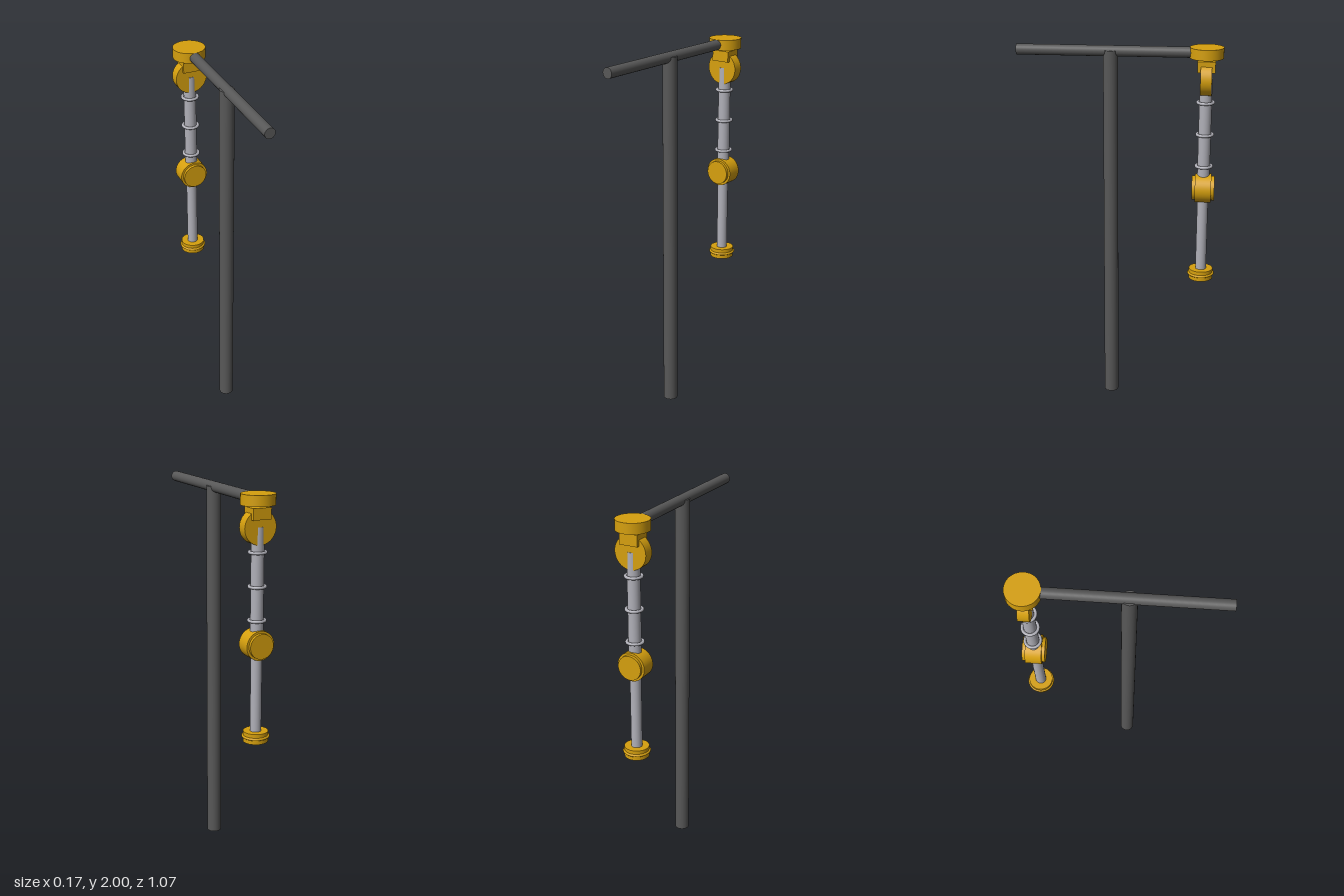
import * as THREE from 'three';

export function createModel() {
  const model = new THREE.Group();
  const mat = (name, color) => {
    const m = new THREE.MeshStandardMaterial({ color });
    m.name = name;
    return m;
  };
  const darkSteel = mat('dark steel', 0x585858);
  const paleMetal = mat('pale metal', 0xb0b0b8);
  const amber = mat('amber', 0xd6a00e);

  const ARM_Z = -0.45; // vertical axis of the hanging arm
  const POLE_Z = 0.045;

  const add = (parent, name, geometry, material, x, y, z) => {
    const mesh = new THREE.Mesh(geometry, material);
    mesh.name = name;
    mesh.position.set(x, y, z);
    parent.add(mesh);
    return mesh;
  };
  // Upright cylinder between two heights
  const upright = (parent, name, r, y0, y1, z, material) =>
    add(parent, name, new THREE.CylinderGeometry(r, r, y1 - y0, 40), material, 0, (y0 + y1) / 2, z);
  // Cylinder lying along z between two depths
  const lying = (parent, name, r, z0, z1, y, material) =>
    add(parent, name, new THREE.CylinderGeometry(r, r, z1 - z0, 40).rotateX(Math.PI / 2),
      material, 0, y, (z0 + z1) / 2);
  // Horizontal ring around the arm
  const ring = (parent, name, r, tube, y, material) =>
    add(parent, name, new THREE.TorusGeometry(r, tube, 12, 40).rotateX(Math.PI / 2), material, 0, y, ARM_Z);

  // Stand: pole and crossbar
  const stand = new THREE.Group();
  stand.name = 'stand';
  upright(stand, 'pole', 0.039, 0, 1.977, POLE_Z, darkSteel);
  lying(stand, 'crossbar', 0.028, -0.445, 0.535, 1.972, darkSteel);

  const arm = new THREE.Group();
  arm.name = 'arm';

  // Shoulder: mounting plate, bracket and disc
  upright(arm, 'mountingPlate', 0.087, 1.945, 2, ARM_Z, amber);
  add(arm, 'shoulderBracket', new THREE.BoxGeometry(0.1, 0.058, 0.092), amber, 0, 1.905, ARM_Z);
  lying(arm, 'shoulderDisc', 0.087, ARM_Z - 0.029, ARM_Z + 0.029, 1.836, amber);

  // Upper arm with its rings
  upright(arm, 'upperArm', 0.033, 1.243, 1.838, ARM_Z, paleMetal);
  for (const y of [1.712, 1.54, 1.367]) ring(arm, 'armRing', 0.041, 0.008, y, paleMetal);

  // Elbow with a cap on each face
  const elbowY = 1.243;
  lying(arm, 'elbow', 0.077, ARM_Z - 0.043, ARM_Z + 0.043, elbowY, amber);
  for (const s of [-1, 1]) {
    const mid = ARM_Z + s * 0.05;
    lying(arm, 'elbowCap', 0.065, mid - 0.01, mid + 0.01, elbowY, amber);
  }

  // Forearm and wrist flange
  upright(arm, 'forearm', 0.029, 0.76, elbowY, ARM_Z, paleMetal);
  upright(arm, 'wristFlange', 0.065, 0.723, 0.779, ARM_Z, amber);
  ring(arm, 'wristRing', 0.066, 0.007, 0.752, amber);

  model.add(stand, arm);
  return model;
}
